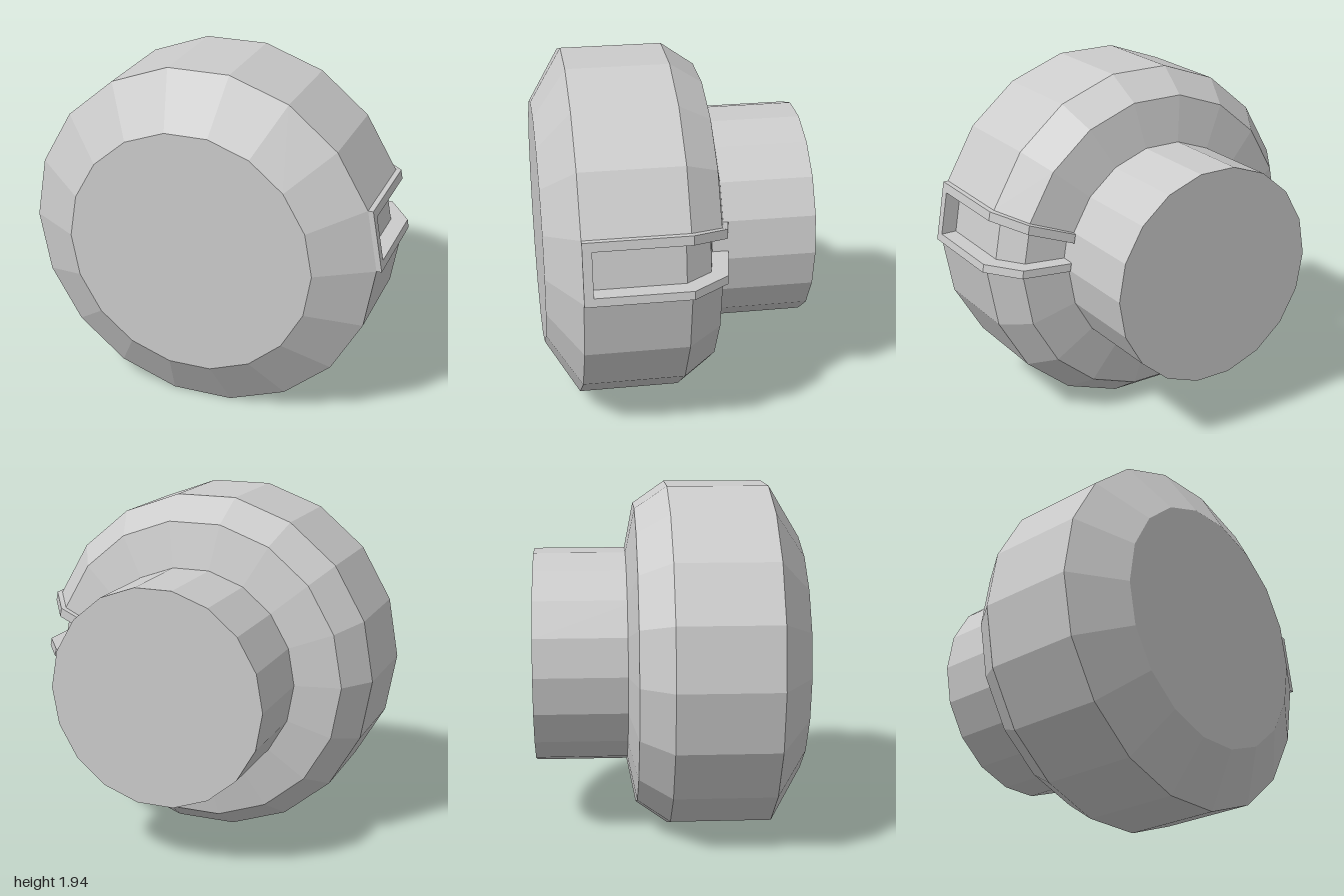
import * as THREE from 'three';

const STEP = THREE.MathUtils.degToRad(20); // 18-sided body
const grey = new THREE.MeshStandardMaterial({ color: 0xcccccc, flatShading: true, side: THREE.DoubleSide });

// Faceted lathe about the z axis; profile is [radius, z] from back to front.
function turned(name, profile, firstSide = 0, sides = 18) {
  const points = profile.map(([r, z]) => new THREE.Vector2(r, z));
  const geo = new THREE.LatheGeometry(points, sides, Math.PI / 2 + firstSide * STEP, sides * STEP);
  geo.rotateX(Math.PI / 2);
  const mesh = new THREE.Mesh(geo, grey);
  mesh.name = name;
  return mesh;
}

// Raised frame around a sunken channel, lofted along one side of the body.
function channelFrame(path) {
  const LIP = 0.028, DEPTH = -0.06, LOW = 0.045, HIGH = 0.05;
  const normals = path.slice(1).map(([r, z], i) =>
    new THREE.Vector2(path[i][1] - z, r - path[i][0]).normalize());

  const section = (i, floor) => {
    const [r, z] = path[i];
    const a = normals[Math.max(i - 1, 0)], b = normals[Math.min(i, normals.length - 1)];
    const mitre = a.clone().add(b).divideScalar(1 + a.dot(b));
    const top = r * Math.sin(STEP), base = floor === LIP ? LIP : 0;
    const loop = [[0, 0], [LIP, 0], [LIP, LOW], [base, LOW], [floor, LOW],
      [floor, top - HIGH], [base, top - HIGH], [LIP, top - HIGH], [LIP, top], [0, top]];
    return loop.map(([d, y]) =>
      [r + mitre.x * d - y * Math.tan(STEP / 2), y, z + mitre.y * d]);
  };

  // solid front bar, then the open channel
  const sections = [section(0, LIP), section(1, LIP)];
  for (let i = 1; i < path.length; i++) sections.push(section(i, DEPTH));

  const pos = [];
  const quad = (a, b, c, d) => pos.push(...a, ...b, ...c, ...a, ...c, ...d);
  for (let s = 0; s < sections.length - 1; s++) {
    const f = sections[s], k = sections[s + 1];
    for (let j = 0; j < f.length - 1; j++) quad(f[j], k[j], k[j + 1], f[j + 1]);
  }
  // end caps
  const f = sections[0], k = sections[sections.length - 1];
  quad(f[0], f[1], f[8], f[9]);
  quad(k[3], k[2], k[1], k[0]);
  quad(k[9], k[8], k[7], k[6]);

  const geo = new THREE.BufferGeometry();
  geo.setAttribute('position', new THREE.Float32BufferAttribute(pos, 3));
  geo.computeVertexNormals();
  const mesh = new THREE.Mesh(geo, grey);
  mesh.name = 'sideChannelFrame';
  return mesh;
}

export function createModel() {
  const group = new THREE.Group();
  group.name = 'drumWithNeck';

  // drum wall, leaving one side open for the channel
  group.add(turned('drumWall', [[0.607, -0.23], [0.86, -0.18], [0.985, 0], [0.985, 0.56]], 1, 17));
  // bevelled front with its flat face
  group.add(turned('frontFace', [[0.985, 0.56], [0.69, 0.74], [0, 0.74]]));
  // rear neck with closed end
  group.add(turned('rearNeck', [[0, -0.74], [0.607, -0.74], [0.607, -0.17]]));
  // framed channel on the open side
  group.add(channelFrame([[0.985, 0.56], [0.985, 0.51], [0.985, 0], [0.86, -0.18], [0.607, -0.23]]));

  group.children.forEach((part) => part.position.set(-0.013, 0.97, 0));
  return group;
}
